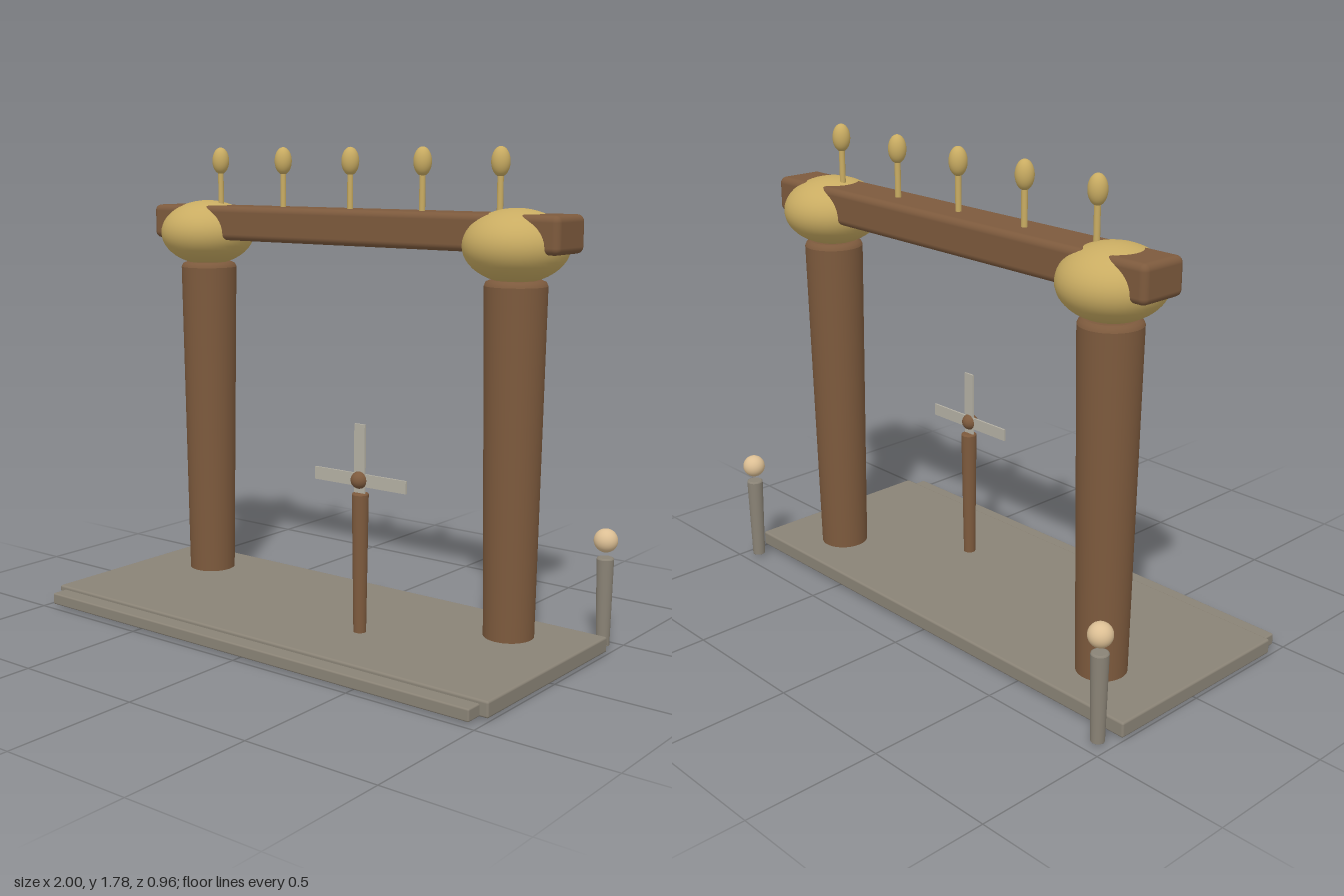
import * as THREE from 'three';
import { RoundedBoxGeometry } from 'three/addons/geometries/RoundedBoxGeometry.js';

const material = (color) => new THREE.MeshStandardMaterial({ color });
const wood = material(0x7d5a3d);
const gold = material(0xc9ac62);
const stone = material(0x8a8376);
const cloth = material(0xb5b1a4);
const glow = material(0xdcbf94);

function add(parent, name, geometry, mat, x, y, z) {
  const mesh = new THREE.Mesh(geometry, mat);
  mesh.name = name;
  mesh.position.set(x, y, z);
  parent.add(mesh);
  return mesh;
}

// Tapered round post with a softly bevelled top rim
function post(rBottom, rTop, height, bevel) {
  const points = [
    [0, 0], [rBottom, 0], [rBottom, 0.0005], [rTop, height - bevel], [rTop, height - bevel],
    [rTop - bevel * 0.3, height - bevel * 0.3], [rTop - bevel, height], [rTop - bevel, height], [0, height],
  ].map(([x, y]) => new THREE.Vector2(x, y));
  return new THREE.LatheGeometry(points, 40);
}

function ellipsoid(rx, ry, rz) {
  return new THREE.SphereGeometry(1, 40, 24).scale(rx, ry, rz);
}

export function createModel() {
  const model = new THREE.Group();
  model.name = 'gateway';
  const gateZ = -0.17;

  // Stone floor with a lower front step
  add(model, 'floor', new RoundedBoxGeometry(1.995, 0.057, 0.792, 3, 0.008), stone, 0, 0.0365, 0.02);
  add(model, 'frontStep', new RoundedBoxGeometry(1.935, 0.044, 0.13, 3, 0.006), stone, -0.002, 0.03, 0.413);

  // Pillars with bulbous capitals, and the lamp posts behind them
  for (const side of [-1, 1]) {
    const label = side > 0 ? 'left' : 'right';
    add(model, label + 'Pillar', post(0.09, 0.11, 1.325, 0.02), wood, side * 0.715, 0.005, gateZ);
    add(model, label + 'Capital', ellipsoid(0.185, 0.128, 0.187), gold, side * 0.715, 1.447, gateZ + 0.004);
    add(model, label + 'LampPost', post(0.024, 0.031, 0.325, 0.006), stone, side * 0.947, 0.008, -0.44);
    add(model, label + 'LampGlobe', ellipsoid(0.043, 0.043, 0.043), glow, side * 0.947, 0.395, -0.44);
  }

  // Lintel beam
  add(model, 'beam', new RoundedBoxGeometry(1.855, 0.132, 0.19, 4, 0.024), wood, -0.001, 1.49, gateZ);

  // Row of finials on the beam
  for (let i = -2; i <= 2; i++) {
    const finial = new THREE.Group();
    finial.name = 'finial';
    finial.position.set(i * 0.3225, 1.53, gateZ);
    add(finial, 'finialStem', new THREE.CylinderGeometry(0.011, 0.011, 0.18, 20), gold, 0, 0.09, 0);
    add(finial, 'finialBud', ellipsoid(0.033, 0.052, 0.033), gold, 0, 0.2, 0);
    model.add(finial);
  }

  // Small pinwheel standing on the floor
  const pinwheel = new THREE.Group();
  pinwheel.name = 'pinwheel';
  pinwheel.position.set(0.275, 0, 0.125);
  add(pinwheel, 'pinwheelPost', post(0.022, 0.03, 0.575, 0.006), wood, 0, 0, 0);
  add(pinwheel, 'hub', ellipsoid(0.031, 0.031, 0.031), wood, 0, 0.622, 0.006);
  for (let i = 0; i < 4; i++) {
    const blade = new THREE.Group();
    blade.name = 'blade';
    blade.position.set(0, 0.622, 0.003);
    blade.rotation.z = (i * Math.PI) / 2;
    add(blade, 'bladeVane', new THREE.BoxGeometry(0.046, 0.2, 0.007), cloth, 0, 0.1, 0);
    pinwheel.add(blade);
  }
  model.add(pinwheel);

  return model;
}
